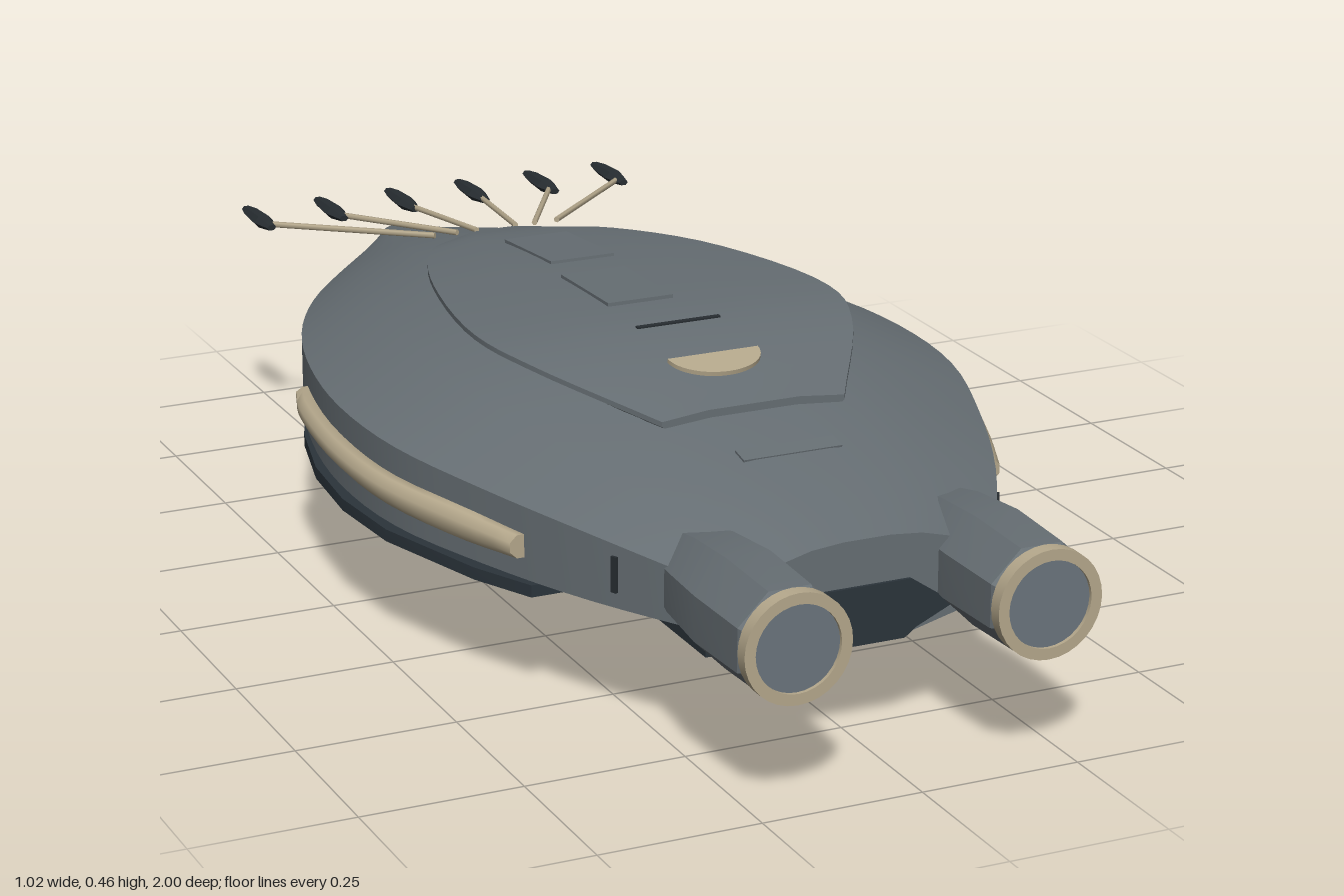
import * as THREE from 'three';
import { toCreasedNormals } from 'three/addons/utils/BufferGeometryUtils.js';

const mat = (name, color) => {
  const m = new THREE.MeshStandardMaterial({ color });
  m.name = name;
  return m;
};

// Resample rows of numbers with a smooth curve through every column
function smooth(rows, n) {
  const out = [];
  const last = rows.length - 1;
  for (let i = 0; i <= n; i++) {
    const t = (i / n) * last;
    const k = Math.min(Math.floor(t), last - 1), f = t - k;
    out.push(rows[k].map((p1, c) => {
      const p2 = rows[k + 1][c];
      const p0 = k > 0 ? rows[k - 1][c] : 2 * p1 - p2;
      const p3 = k + 2 <= last ? rows[k + 2][c] : 2 * p2 - p1;
      return p1 + 0.5 * f * (p2 - p0 + f * (2 * p0 - 5 * p1 + 4 * p2 - p3 + f * (3 * (p1 - p2) + p3 - p0)));
    }));
  }
  return out;
}

// Skin rings of [x, y, z], counterclockwise seen from +z, ordered towards +z
function loft(rings, crease = 0.4) {
  const n = rings[0].length, index = [], last = (rings.length - 1) * n;
  for (let i = 0; i < rings.length - 1; i++) {
    for (let j = 0; j < n; j++) {
      const a = i * n + j, b = i * n + (j + 1) % n;
      index.push(a, b, b + n, a, b + n, a + n);
    }
  }
  for (let j = 1; j < n - 1; j++) {
    index.push(0, j + 1, j, last, last + j, last + j + 1);
  }
  const g = new THREE.BufferGeometry();
  g.setAttribute('position', new THREE.Float32BufferAttribute(rings.flat(2), 3));
  g.setIndex(index);
  return toCreasedNormals(g, crease);
}

// Complete a half section (bottom to top, x > 0) into a symmetric ring
const mirrorRing = (half, z) => [
  ...half.map(([x, y]) => [x, y, z]),
  ...half.slice().reverse().map(([x, y]) => [-x, y, z]),
];
// Mirror a ring across x = 0, keeping its winding
const flipRing = (ring) => ring.map(([x, y, z]) => [-x, y, z]).reverse();

export function createModel() {
  const model = new THREE.Group();
  const hullGrey = mat('hull grey', 0x666e73);
  const keelDark = mat('keel dark', 0x2b343b);
  const padDark = mat('pad dark', 0x272d31);
  const tan = mat('tan trim', 0xb5a88c);
  const glow = mat('engine grey', 0x6b757d);
  const add = (name, geo, material, x = 0, y = 0, z = 0, parent = model) => {
    const m = new THREE.Mesh(geo, material);
    m.name = name;
    m.position.set(x, y, z);
    parent.add(m);
    return m;
  };

  // Hull: z, half width, top, band top, band bottom, belly
  const hullRows = smooth([
    [-1, 0.03, 0.277, 0.25, 0.205, 0.198],
    [-0.8, 0.17, 0.325, 0.275, 0.2, 0.16],
    [-0.6, 0.3, 0.372, 0.295, 0.198, 0.128],
    [-0.4, 0.395, 0.405, 0.312, 0.197, 0.103],
    [-0.2, 0.455, 0.424, 0.322, 0.197, 0.088],
    [0, 0.483, 0.432, 0.325, 0.197, 0.083],
    [0.2, 0.472, 0.426, 0.323, 0.197, 0.085],
    [0.4, 0.412, 0.402, 0.314, 0.197, 0.1],
    [0.6, 0.33, 0.365, 0.3, 0.198, 0.13],
    [0.82, 0.21, 0.318, 0.27, 0.2, 0.166],
  ], 36);
  add('hull', loft(hullRows.map(([z, w, top, bt, bb, belly]) => mirrorRing([
    [w * 0.37, belly], [w, bb], [w, bt],
    [w * 0.7, bt + (top - bt) * 0.58],
    [w * 0.42, bt + (top - bt) * 0.9],
    [w * 0.18, top],
  ], z)), 0.35), hullGrey);

  // Stern recess
  const recess = new THREE.Shape([[-0.07, 0.168], [0.07, 0.168], [0.14, 0.2], [0.07, 0.248], [-0.07, 0.248], [-0.14, 0.2]]
    .map(([x, y]) => new THREE.Vector2(x, y)));
  add('sternRecess', new THREE.ExtrudeGeometry(recess, { depth: 0.006, bevelEnabled: false }), keelDark, 0, 0, 0.819);

  // Raised deck: z, half width, centre height
  const deckRows = smooth([
    [-0.53, 0.07, 0.404], [-0.42, 0.16, 0.424], [-0.2, 0.247, 0.446], [0.08, 0.3, 0.457],
    [0.25, 0.268, 0.447], [0.455, 0.15, 0.407],
  ], 24);
  add('deck', loft(deckRows.map(([z, w, y]) => mirrorRing([
    [w * 0.75, y - 0.045], [w, y - 0.018], [w, y - 0.01], [w * 0.5, y - 0.002],
  ], z))), hullGrey);

  // Deck hatches, slots and crescent light
  const plate = (name, material, x, y, z, w, d, tilt) => {
    add(name, new THREE.BoxGeometry(w, 0.006, d), material, x, y, z).rotation.x = tilt;
  };
  plate('aftHatch', hullGrey, 0.005, 0.439, -0.275, 0.11, 0.19, -0.085);
  plate('midHatch', hullGrey, -0.015, 0.455, -0.005, 0.11, 0.18, -0.03);
  plate('deckSlot', padDark, 0, 0.451, 0.19, 0.14, 0.008, 0.06);
  plate('hullSlot', hullGrey, 0, 0.37, 0.57, 0.16, 0.03, 0.2);
  const moon = add('deckLight', new THREE.CylinderGeometry(0.075, 0.075, 0.008, 24, 1, false, -Math.PI / 2, Math.PI),
    tan, 0, 0.437, 0.312);
  moon.scale.z = 0.8;
  moon.rotation.x = 0.19;

  // Keel: z, half width, bottom
  const keelRows = smooth([
    [-0.89, 0.035, 0.128], [-0.78, 0.05, 0.098], [-0.6, 0.062, 0.058], [-0.4, 0.07, 0.033],
    [0, 0.075, 0.02], [0.3, 0.075, 0.033], [0.5, 0.075, 0.066], [0.68, 0.075, 0.115], [0.82, 0.075, 0.156],
  ], 28);
  add('keel', loft(keelRows.map(([z, w, b]) => mirrorRing([
    [w * 0.85, b], [w, b + 0.012], [w, b + 0.03], [w * 1.45, Math.max(b + 0.035, Math.min(0.155, b + 0.075))],
  ], z))), keelDark);
  add('keelPlate', new THREE.BoxGeometry(0.13, 0.028, 0.65), keelDark, 0, 0.014, 0.105);

  // Side fins: z, inner x, outer x
  const finRings = [
    [-0.38, 0.375, 0.4], [-0.25, 0.34, 0.45], [-0.1, 0.36, 0.487], [0.05, 0.37, 0.5],
    [0.2, 0.365, 0.488], [0.4, 0.33, 0.428], [0.5, 0.32, 0.38],
  ].map(([z, a, b]) => [[a, 0.175, z], [b, 0.175, z], [b, 0.194, z], [a, 0.194, z]]);
  // Side trim: z, centre x, centre y, half height
  const trimRings = smooth([
    [-0.24, 0.447, 0.266, 0.012], [-0.15, 0.473, 0.265, 0.016], [0.03, 0.492, 0.263, 0.019],
    [0.2, 0.482, 0.259, 0.021], [0.36, 0.433, 0.253, 0.022], [0.48, 0.386, 0.249, 0.018],
  ], 18).map(([z, x, y, h]) => Array.from({ length: 8 }, (_, i) => {
    const a = (i + 0.5) * Math.PI / 4;
    return [x + 0.02 * Math.cos(a), y + h * 1.08 * Math.sin(a), z];
  }));

  for (const s of [1, -1]) {
    const side = s > 0 ? 'left' : 'right';
    const pick = (rings) => (s > 0 ? rings : rings.map(flipRing));
    add(side + 'Fin', loft(pick(finRings)), keelDark);
    add(side + 'Trim', loft(pick(trimRings), 0.9), tan);
    for (const [z, x, a] of [[-0.62, 0.288, 0.58], [0.64, 0.31, -0.45]]) {
      add(side + 'HullSlit', new THREE.BoxGeometry(0.008, 0.055, 0.01), padDark, s * x, 0.25, z).rotation.y = s * a;
    }

    // Engine: octagonal body, nozzle ring and flat exhaust disc
    const engine = new THREE.Group();
    engine.name = side + 'Engine';
    engine.position.set(s * 0.197, 0.25, 0);
    model.add(engine);
    const bodyRings = [[0.64, 0.06], [0.73, 0.08], [0.84, 0.09], [0.97, 0.086], [0.985, 0.078]].map(([z, r]) =>
      Array.from({ length: 8 }, (_, i) => {
        const a = (i + 0.5) * Math.PI / 4;
        return [r * Math.cos(a), r * Math.sin(a), z];
      }));
    add('engineBody', loft(bodyRings, 0.2), hullGrey, 0, 0, 0, engine);
    const ring = new THREE.LatheGeometry([[0.066, 0], [0.083, 0], [0.083, 0.022], [0.066, 0.022], [0.066, 0]]
      .map(([x, y]) => new THREE.Vector2(x, y)), 32);
    add('nozzleRing', toCreasedNormals(ring, 0.5), tan, 0, 0, 0.978, engine).rotation.x = Math.PI / 2;
    add('exhaustDisc', new THREE.CircleGeometry(0.067, 32), glow, 0, 0, 0.994, engine);

    // Antenna struts fan out aft, each with a long faceted pad
    for (const [x0, x1] of [[0.035, 0.065], [0.07, 0.195], [0.11, 0.325]]) {
      const a = new THREE.Vector3(s * x0, 0.405, -0.525), b = new THREE.Vector3(s * x1, 0.39, -0.75);
      const strut = add('antennaStrut', new THREE.CylinderGeometry(0.005, 0.005, a.distanceTo(b), 6), tan);
      strut.position.copy(a).add(b).multiplyScalar(0.5);
      strut.quaternion.setFromUnitVectors(new THREE.Vector3(0, 1, 0), b.clone().sub(a).normalize());
      const pad = [[-0.85, 0.008], [-0.82, 0.014], [-0.765, 0.017], [-0.725, 0.008]].map(([z, w]) =>
        Array.from({ length: 6 }, (_, i) => {
          const t = i * Math.PI / 3;
          return [s * x1 + w * Math.cos(t), 0.39 + w * 0.65 * Math.sin(t), z];
        }));
      add('antennaPad', loft(pad, 0.2), padDark);
    }
  }
  return model;
}
